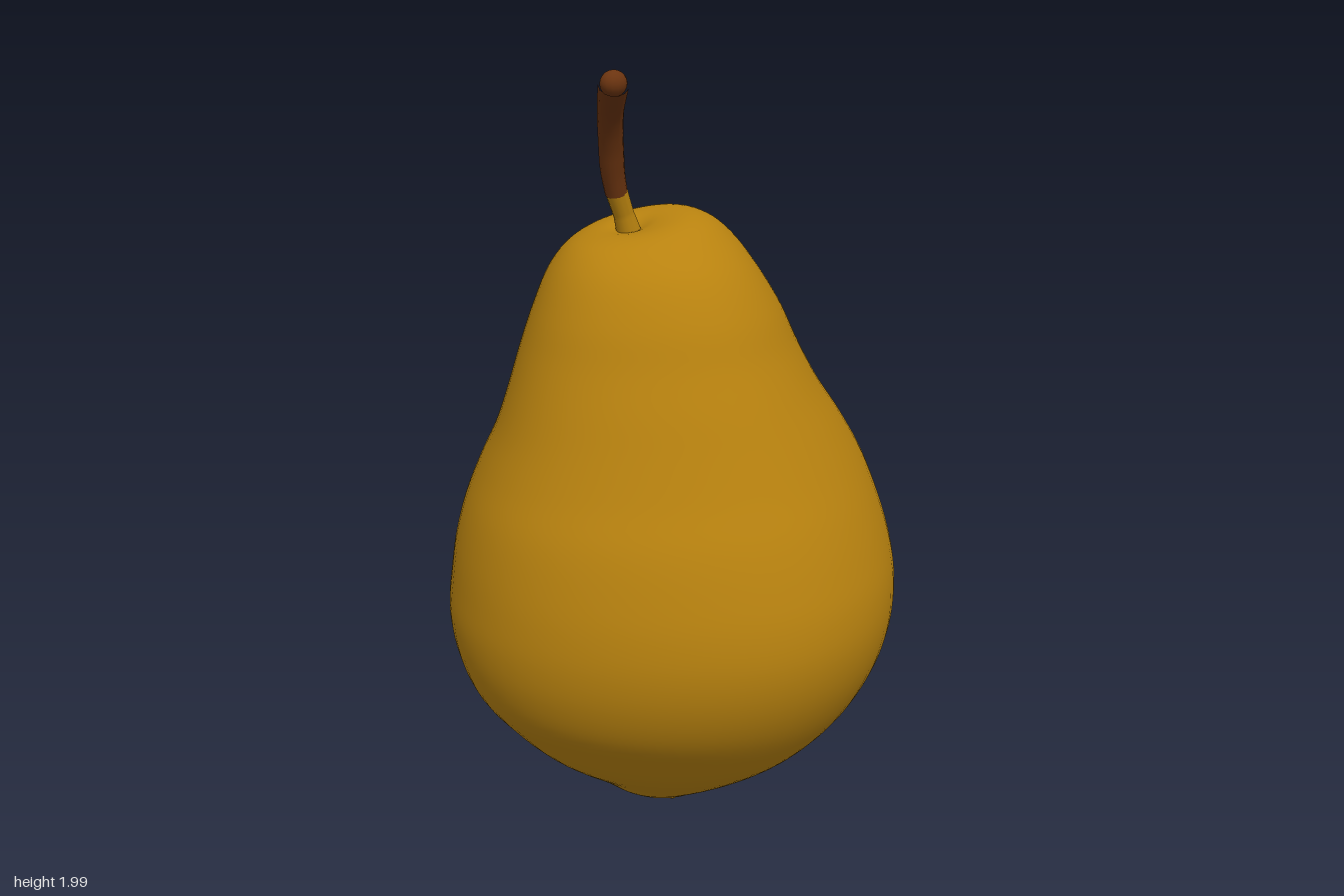
import * as THREE from 'three';

const gold = new THREE.MeshStandardMaterial({ name: 'goldenSkin', color: 0xb8820f });
const brown = new THREE.MeshStandardMaterial({ name: 'brownStem', color: 0x6b3410 });

// Body sections from base to crown: height, xMin, xMax, zMin, zMax, tilt towards +x
const SECTIONS = [
  [0.045, -0.01, 0.01, -0.01, 0.01, 0],
  [0.04, -0.05, 0.04, -0.05, 0.05, 0],
  [0.02, -0.09, 0.08, -0.08, 0.09, 0.006],
  [0.045, -0.15, 0.15, -0.15, 0.14, 0.006],
  [0.1, -0.23, 0.26, -0.27, 0.24, 0],
  [0.2, -0.37, 0.42, -0.42, 0.38, 0],
  [0.3, -0.47, 0.51, -0.51, 0.475, 0],
  [0.4, -0.55, 0.555, -0.555, 0.545, 0],
  [0.5, -0.59, 0.585, -0.59, 0.59, 0],
  [0.6, -0.605, 0.6, -0.605, 0.61, 0],
  [0.7, -0.6, 0.6, -0.59, 0.605, 0],
  [0.8, -0.585, 0.585, -0.57, 0.58, 0],
  [0.9, -0.56, 0.555, -0.535, 0.545, 0],
  [1.0, -0.52, 0.515, -0.49, 0.5, 0],
  [1.1, -0.48, 0.45, -0.43, 0.455, 0],
  [1.2, -0.445, 0.375, -0.385, 0.41, 0],
  [1.3, -0.41, 0.32, -0.35, 0.365, 0],
  [1.4, -0.375, 0.27, -0.31, 0.325, 0],
  [1.5, -0.325, 0.21, -0.265, 0.265, 0],
  [1.565, -0.275, 0.16, -0.215, 0.2, 0.01],
  [1.6, -0.225, 0.105, -0.165, 0.15, 0.02],
  [1.614, -0.18, 0.04, -0.11, 0.1, 0.025],
  [1.605, -0.15, -0.04, -0.07, 0.04, 0.018],
  [1.585, -0.12, -0.09, -0.04, -0.01, 0],
];

// Smooth skin: one vertical spline per angle, joined into a closed loop
function bodyGeometry(sides = 72, rows = 110) {
  const positions = [], indices = [];
  for (let i = 0; i < sides; i++) {
    const a = (i / sides) * Math.PI * 2, c = Math.cos(a), s = Math.sin(a);
    const dent = c < 0 ? 1 - 0.035 * Math.sin(2 * a) ** 2 : 1;
    const line = new THREE.CatmullRomCurve3(SECTIONS.map(([y, x0, x1, z0, z1, tilt]) =>
      new THREE.Vector3(
        (x0 + x1) / 2 + (x1 - x0) / 2 * c * dent,
        y + tilt * c,
        (z0 + z1) / 2 + (z1 - z0) / 2 * s * dent)));
    for (let j = 0; j <= rows; j++) positions.push(...line.getPoint(j / rows).toArray());
  }
  for (let i = 0; i < sides; i++) {
    for (let j = 0; j < rows; j++) {
      const p = i * (rows + 1) + j, q = ((i + 1) % sides) * (rows + 1) + j;
      indices.push(p, p + 1, q, p + 1, q + 1, q);
    }
  }
  const g = new THREE.BufferGeometry();
  g.setAttribute('position', new THREE.Float32BufferAttribute(positions, 3));
  g.setIndex(indices);
  g.computeVertexNormals();
  return g;
}

// Round tube whose radius runs through a list of values along its length
function taperedTube(points, radii) {
  const curve = new THREE.CatmullRomCurve3(points.map((p) => new THREE.Vector3(...p)));
  const rows = 24, sides = 14;
  const g = new THREE.TubeGeometry(curve, rows, 1, sides, false);
  const pos = g.attributes.position, v = new THREE.Vector3();
  for (let i = 0; i < pos.count; i++) {
    const t = Math.floor(i / (sides + 1)) / rows;
    const k = t * (radii.length - 1), n = Math.min(Math.floor(k), radii.length - 2);
    const r = THREE.MathUtils.lerp(radii[n], radii[n + 1], k - n);
    const centre = curve.getPointAt(t);
    v.fromBufferAttribute(pos, i).sub(centre).multiplyScalar(r).add(centre);
    pos.setXYZ(i, v.x, v.y, v.z);
  }
  g.computeVertexNormals();
  return g;
}

export function createModel() {
  const model = new THREE.Group();
  model.name = 'pear';
  const add = (name, geometry, material, parent = model) => {
    const mesh = new THREE.Mesh(geometry, material);
    mesh.name = name;
    parent.add(mesh);
    return mesh;
  };

  add('body', bodyGeometry(), gold);

  // Stem: skin-coloured foot, then a curved woody stalk with a thicker end
  add('stemFoot', taperedTube(
    [[-0.1, 1.56, -0.025], [-0.125, 1.63, -0.025], [-0.155, 1.7, -0.022]], [0.034, 0.026, 0.028]), gold);
  add('stem', taperedTube(
    [[-0.15, 1.685, -0.023], [-0.168, 1.74, -0.015], [-0.19, 1.81, 0.005], [-0.225, 1.89, 0.045], [-0.272, 1.965, 0.112]],
    [0.028, 0.031, 0.031, 0.033, 0.037]), brown);
  const tip = add('stemTip', new THREE.SphereGeometry(0.037, 14, 10), brown);
  tip.position.set(-0.272, 1.965, 0.112);
  tip.scale.set(0.95, 0.85, 0.8);

  // Calyx under the base: brown core, ring of dry sepals and small skin lumps
  const calyx = new THREE.Group();
  calyx.name = 'calyx';
  model.add(calyx);
  const core = add('calyxCore', new THREE.SphereGeometry(0.04, 12, 8), brown, calyx);
  core.position.y = 0.03;
  core.scale.y = 0.5;
  for (let i = 0; i < 5; i++) {
    const a = (i / 5) * Math.PI * 2 + 0.3;
    const sepal = add('sepal', new THREE.ConeGeometry(0.016, 0.05, 5), brown, calyx);
    sepal.position.set(Math.cos(a) * 0.04, 0.019, Math.sin(a) * 0.04);
    sepal.rotation.set(0, -a, -Math.PI / 2 - 0.2);
    const b = a + Math.PI / 5;
    const lump = add('skinLump', new THREE.SphereGeometry(0.025, 10, 8), gold, calyx);
    lump.position.set(Math.cos(b) * 0.085, 0.026, Math.sin(b) * 0.085);
    lump.scale.set(1, 0.55, 0.7);
    lump.rotation.y = -b;
  }
  return model;
}
